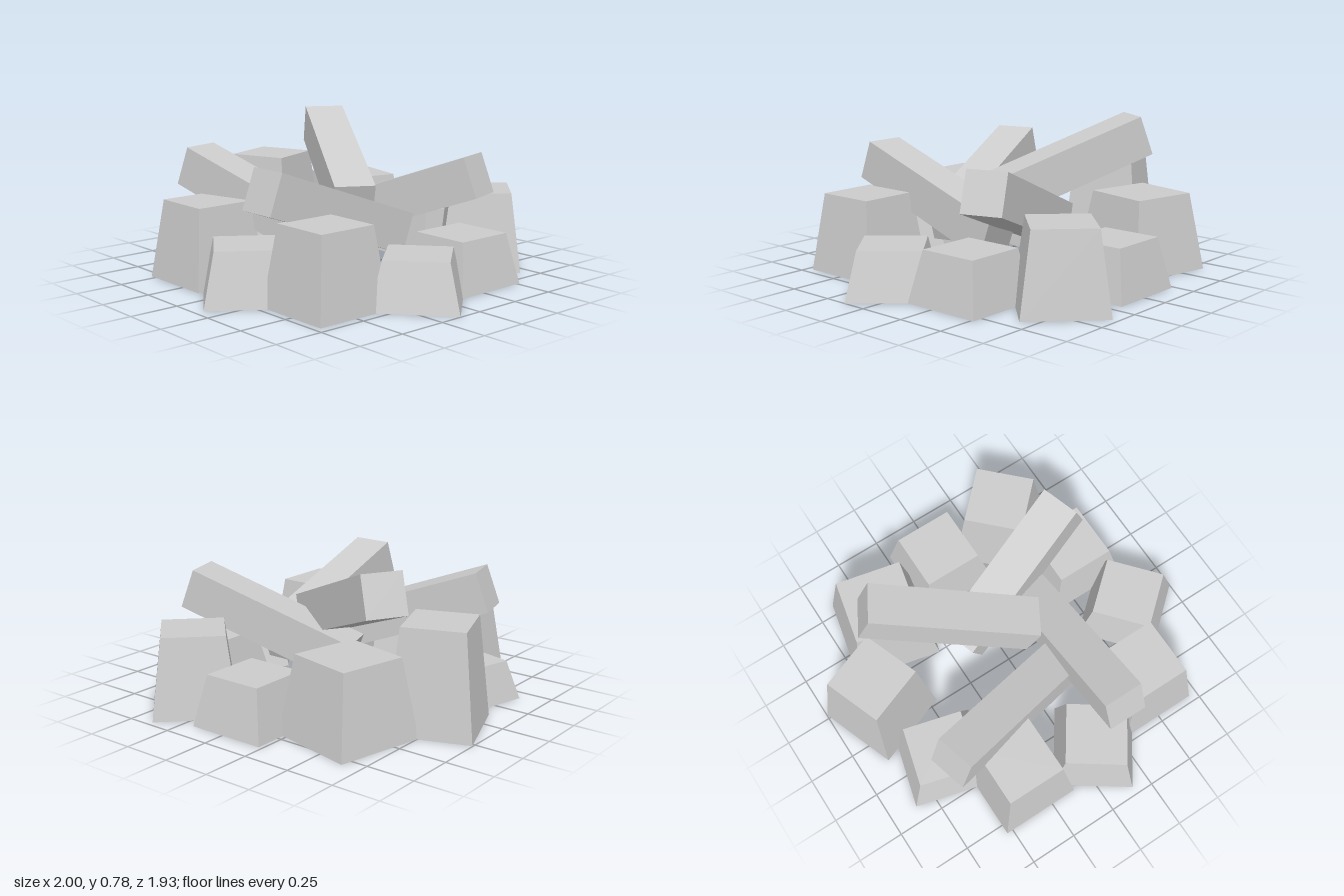
import * as THREE from 'three';

const deg = THREE.MathUtils.degToRad;

export function createModel() {
  const model = new THREE.Group();
  model.name = 'campfire';
  const grey = new THREE.MeshStandardMaterial({ color: 0xcccccc, flatShading: true });
  grey.name = 'grey';

  // Ring of tapered stones: x, z, height, turn in degrees, base width
  const stones = [
    [-0.02, -0.675, 0.26, 0, 0.42],
    [0.38, -0.675, 0.41, 45, 0.42],
    [0.595, -0.305, 0.26, 0, 0.42],
    [0.703, 0.106, 0.24, 40.6, 0.42],
    [0.495, 0.505, 0.405, 0, 0.42],
    [0.104, 0.665, 0.27, -35, 0.42],
    [-0.323, 0.59, 0.405, 0, 0.42],
    [-0.6, 0.27, 0.2, -15, 0.42],
    [-0.727, -0.145, 0.525, 20.4, 0.42],
    [-0.473, -0.527, 0.4, -12.5, 0.47],
  ];
  const ring = new THREE.Group();
  ring.name = 'stoneRing';
  stones.forEach(([x, z, height, turn, width], i) => {
    const r = width * Math.SQRT1_2;
    const geometry = new THREE.CylinderGeometry(r * 0.75, r, height, 4).rotateY(Math.PI / 4);
    const stone = new THREE.Mesh(geometry, grey);
    stone.name = `stone${i + 1}`;
    stone.position.set(x, height / 2, z);
    stone.rotation.y = deg(turn);
    ring.add(stone);
  });

  // Square logs leaning inwards, outer end raised: x, y, z, heading in degrees
  const logs = [
    [-0.227, 0.53, -0.203, 150],
    [0.208, 0.386, -0.279, 17.5],
    [-0.219, 0.386, 0.336, 195],
    [0.247, 0.386, 0.253, -90],
  ];
  const pile = new THREE.Group();
  pile.name = 'logPile';
  const logGeometry = new THREE.BoxGeometry(0.905, 0.212, 0.212);
  logs.forEach(([x, y, z, heading], i) => {
    const log = new THREE.Mesh(logGeometry, grey);
    log.name = `log${i + 1}`;
    log.position.set(x, y, z);
    log.rotation.set(0, deg(heading), deg(20));
    pile.add(log);
  });

  model.add(ring, pile);
  return model;
}
